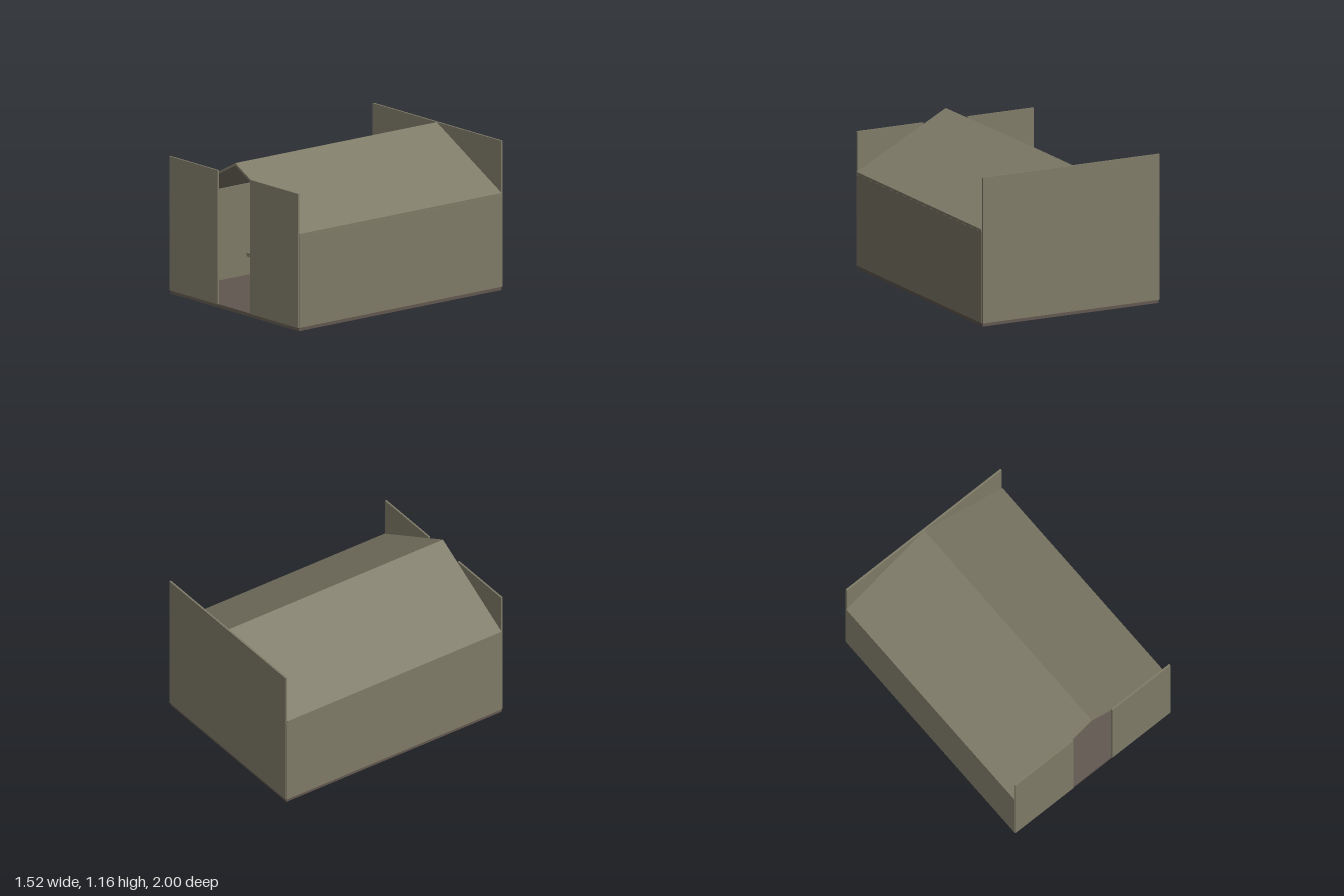
import * as THREE from 'three';

export function createModel() {
  const model = new THREE.Group();
  const panel = new THREE.MeshStandardMaterial({ color: 0x7f7b68 });
  panel.name = 'olive panel';
  const brown = new THREE.MeshStandardMaterial({ color: 0x625750 });
  brown.name = 'dark brown';

  const add = (name, geometry, material, parent = model) => {
    const mesh = new THREE.Mesh(geometry, material);
    mesh.name = name;
    parent.add(mesh);
    return mesh;
  };
  // Box given by its minimum and maximum on each axis
  const box = (name, x0, x1, y0, y1, z0, z1, material, parent = model) => {
    const mesh = add(name, new THREE.BoxGeometry(x1 - x0, y1 - y0, z1 - z0), material, parent);
    mesh.position.set((x0 + x1) / 2, (y0 + y1) / 2, (z0 + z1) / 2);
    return mesh;
  };

  // Shell: floor, side walls, tall back wall, two front panels beside the doorway
  box('floor', -0.753, 0.753, 0, 0.027, -0.99, 0.99, brown);
  box('backWall', -0.755, 0.755, 0.027, 1.158, -1, -0.985, panel);
  for (const [side, s] of [['left', 1], ['right', -1]]) {
    const wall = box(side + 'Wall', 0.75, 0.76, 0.027, 0.735, -0.99, 0.99, panel);
    const front = box(side + 'FrontPanel', 0.19, 0.755, 0.027, 1.066, 0.986, 1, panel);
    wall.position.x *= s;
    front.position.x *= s;
  }

  // Gabled roof sheet
  const gable = new THREE.Shape([
    [-0.762, 0.737], [0, 1.138], [0.762, 0.737], [0.762, 0.755], [0, 1.157], [-0.762, 0.755],
  ].map(([x, y]) => new THREE.Vector2(x, y)));
  const roof = add('roof', new THREE.ExtrudeGeometry(gable, { depth: 1.97, bevelEnabled: false }), panel);
  roof.position.z = -0.985;

  // Bench along the right wall
  box('sideBench', -0.75, -0.41, 0.17, 0.2, -0.6, 0.25, panel);
  // Hanging board
  box('hangingBoard', -0.22, -0.18, 0.48, 0.75, -0.9, -0.6, brown);

  // Rear seat with a framed, slatted backrest
  const seat = new THREE.Group();
  seat.name = 'rearSeat';
  model.add(seat);
  const frame = new THREE.Shape();
  frame.moveTo(-0.18, 0.28).lineTo(0.18, 0.28).lineTo(0.18, 0.5).lineTo(-0.18, 0.5).closePath();
  const opening = new THREE.Path();
  opening.moveTo(-0.14, 0.33).lineTo(-0.14, 0.475).lineTo(0.14, 0.475).lineTo(0.14, 0.33).closePath();
  frame.holes.push(opening);
  const back = add('backFrame', new THREE.ExtrudeGeometry(frame, { depth: 0.03, bevelEnabled: false }), brown, seat);
  back.position.z = -0.8;
  box('backRail', -0.19, 0.19, 0.345, 0.365, -0.77, -0.75, panel, seat);
  box('seatTop', -0.19, 0.19, 0.235, 0.255, -0.8, -0.45, brown, seat);
  box('seatBase', -0.19, 0.19, 0.027, 0.1, -0.78, -0.72, brown, seat);
  for (const x of [-0.175, 0.175]) for (const z of [-0.77, -0.48])
    box('seatLeg', x - 0.01, x + 0.01, 0.027, 0.235, z - 0.01, z + 0.01, brown, seat);

  // Chest with a handle
  box('chest', -0.105, 0.105, 0.027, 0.225, -0.2, 0.05, brown);
  box('chestHandle', -0.015, 0.015, 0.225, 0.265, -0.09, -0.06, panel);

  // Standing figure on the left
  const figure = new THREE.Group();
  figure.name = 'figure';
  figure.position.set(0.22, 0, -0.35);
  model.add(figure);
  add('head', new THREE.SphereGeometry(0.065, 16, 12), panel, figure).position.y = 0.92;
  add('neck', new THREE.CylinderGeometry(0.03, 0.03, 0.05, 12), panel, figure).position.y = 0.845;
  add('torso', new THREE.CylinderGeometry(0.1, 0.1, 0.275, 16), brown, figure).position.y = 0.692;
  box('waist', -0.165, 0.165, 0.53, 0.555, -0.1, 0.1, brown, figure);
  for (const s of [-1, 1]) {
    const arm = add('arm', new THREE.CylinderGeometry(0.022, 0.018, 0.26, 10), brown, figure);
    arm.position.set(s * 0.117, 0.685, 0);
    arm.rotation.z = s * -0.05;
    const coat = add('coatPanel', new THREE.BoxGeometry(0.06, 0.33, 0.12), brown, figure);
    coat.position.set(s * 0.12, 0.365, 0);
    coat.rotation.z = s * -0.03;
    add('leg', new THREE.CylinderGeometry(0.05, 0.04, 0.5, 12), brown, figure).position.set(s * 0.05, 0.278, 0);
  }
  return model;
}
